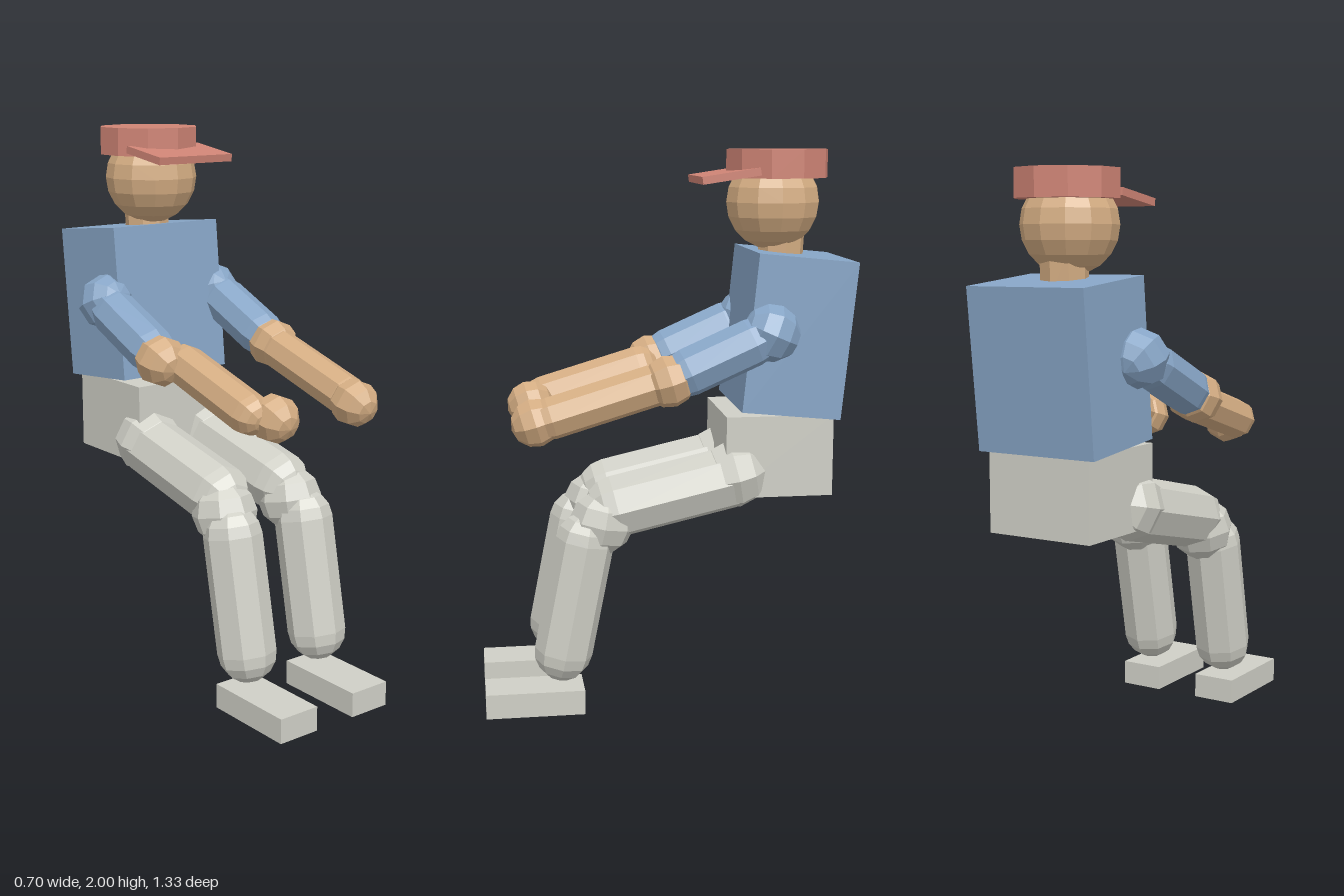
import * as THREE from 'three';

const paint = (name, color) => {
  const m = new THREE.MeshStandardMaterial({ color });
  m.name = name;
  m.flatShading = true;
  return m;
};

export function createModel() {
  const skin = paint('skin', 0xd3ac82);
  const shirt = paint('shirt blue', 0x87a5c6);
  const capRed = paint('cap red', 0xcf8475);
  const trousers = paint('trouser grey', 0xcfcfc6);

  const figure = new THREE.Group();
  figure.name = 'seatedFigure';
  const X = -0.005; // middle line of the body

  const add = (name, geometry, material, x, y, z, tilt = 0) => {
    const mesh = new THREE.Mesh(geometry, material);
    mesh.name = name;
    mesh.position.set(X + x, y, z);
    mesh.rotation.x = tilt;
    figure.add(mesh);
    return mesh;
  };
  const box = (w, h, d) => new THREE.BoxGeometry(w, h, d);
  const joint = (r) => new THREE.SphereGeometry(r, 8, 6);

  // Limb segment between two [y, z] end centres, tilted in the side plane only
  const limb = (name, material, r, x, [y0, z0], [y1, z1]) => {
    const length = Math.hypot(y1 - y0, z1 - z0);
    const tilt = Math.atan2(z1 - z0, y1 - y0);
    add(name, new THREE.CapsuleGeometry(r, length, 4, 8), material,
      x, (y0 + y1) / 2, (z0 + z1) / 2, tilt);
  };

  // Trunk
  add('torso', box(0.47, 0.56, 0.357), shirt, 0, 1.352, -0.46, -0.1);
  add('pelvis', box(0.41, 0.295, 0.388), trousers, 0, 0.922, -0.399);

  // Head and neck
  add('neck', new THREE.CylinderGeometry(0.083, 0.083, 0.16, 8), skin, 0, 1.66, -0.435, -0.05);
  add('head', new THREE.SphereGeometry(0.17, 12, 10), skin, 0, 1.815, -0.403);

  // Cap
  add('capCrown', new THREE.CylinderGeometry(0.185, 0.185, 0.1, 10), capRed, 0, 1.95, -0.417);
  add('capBrim', box(0.323, 0.027, 0.207), capRed, 0, 1.909, -0.224, 0.15);

  for (const [side, s, handX] of [['left', 1, 0.24], ['right', -1, -0.123]]) {
    // Arm; the right hand reaches inwards
    const elbowX = s * 0.257;
    add(side + 'Shoulder', joint(0.103), shirt, s * 0.245, 1.373, -0.352, 1.15);
    limb(side + 'UpperArm', shirt, 0.086, s * 0.253, [1.343, -0.285], [1.243, -0.06]);
    add(side + 'Elbow', joint(0.093), skin, elbowX, 1.213, 0.008, 1.86);
    limb(side + 'Forearm', skin, 0.075, (elbowX + handX) / 2, [1.198, 0.062], [1.092, 0.418]);
    add(side + 'Hand', joint(0.086), skin, handX, 1.076, 0.472, 1.86);

    // Leg
    add(side + 'Hip', joint(0.125), trousers, s * 0.138, 0.848, -0.245, 1.79);
    limb(side + 'Thigh', trousers, 0.115, s * 0.138, [0.836, -0.23], [0.742, 0.185]);
    add(side + 'Knee', joint(0.118), trousers, s * 0.15, 0.69, 0.235, -0.2);
    limb(side + 'Shin', trousers, 0.106, s * 0.164, [0.627, 0.299], [0.214, 0.381]);
    add(side + 'Foot', box(0.162, 0.09, 0.355), trousers, s * 0.164, 0.045, 0.488);
  }

  return figure;
}
